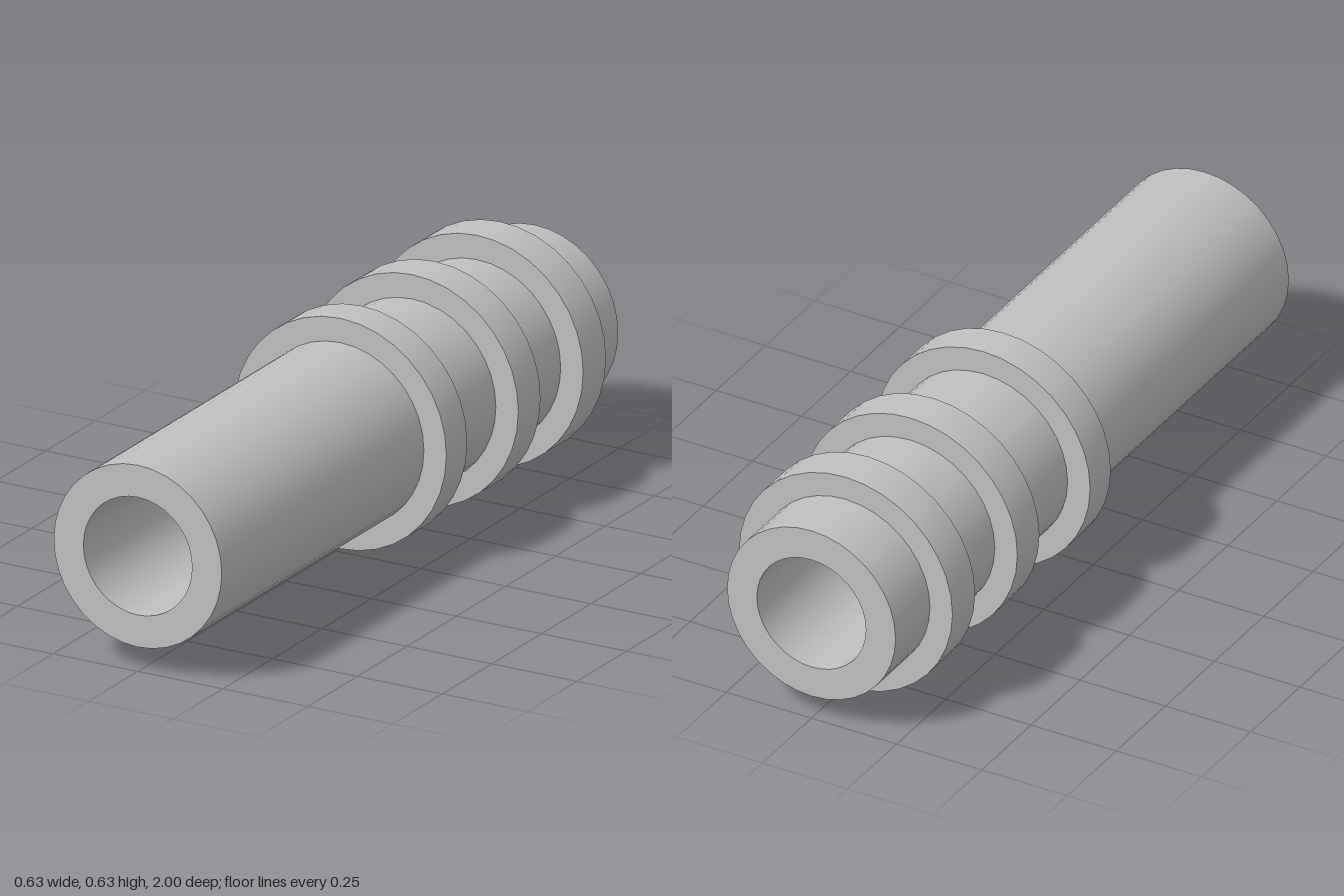
import * as THREE from 'three';
import { toCreasedNormals } from 'three/addons/utils/BufferGeometryUtils.js';

const SEGMENTS = 36;
const BORE = 0.16, TUBE = 0.247, RING = 0.313;

// Turned part lying along z, from [radius, z] points; sharp edges stay sharp
function turned(name, profile, material) {
  const points = profile.map(([r, z]) => new THREE.Vector2(r, z));
  const lathe = new THREE.LatheGeometry(points, SEGMENTS).rotateX(Math.PI / 2);
  const mesh = new THREE.Mesh(toCreasedNormals(lathe, Math.PI / 6), material);
  mesh.name = name;
  mesh.position.y = RING;
  return mesh;
}

export function createModel() {
  const model = new THREE.Group();
  model.name = 'ribbedPipe';
  const grey = new THREE.MeshStandardMaterial({ color: 0xc0c0c0 });
  grey.name = 'grey';

  // Hollow pipe with flat annular ends
  model.add(turned('pipe', [[BORE, -1], [TUBE, -1], [TUBE, 1], [BORE, 1], [BORE, -1]], grey));

  // Three collars towards the back
  [[-0.125, -0.02], [-0.495, -0.383], [-0.825, -0.71]].forEach(([back, front], i) => {
    model.add(turned(`collar${i + 1}`,
      [[TUBE - 0.01, back], [RING, back], [RING, front], [TUBE - 0.01, front]], grey));
  });

  return model;
}
